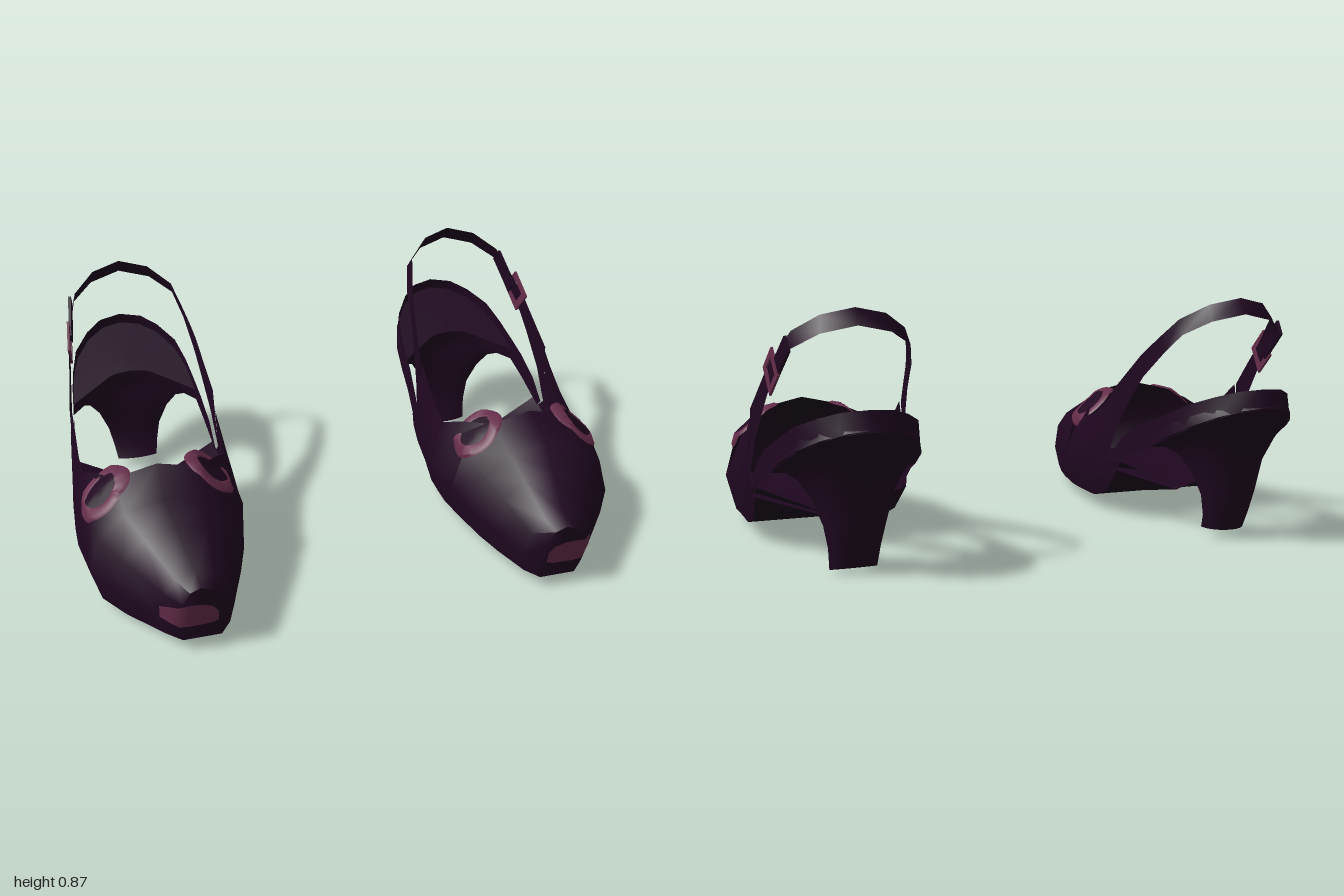
import * as THREE from 'three';
import { toCreasedNormals } from 'three/addons/utils/BufferGeometryUtils.js';

const leather = new THREE.MeshStandardMaterial({ color: 0x1f0720, side: THREE.DoubleSide });
leather.name = 'dark plum leather';
const trim = new THREE.MeshStandardMaterial({ color: 0x672e4b, side: THREE.DoubleSide });
trim.name = 'rose trim';

const CX = 0.69; // centre line of one shoe

function part(group, name, geometry, material = leather) {
  const mesh = new THREE.Mesh(geometry, material);
  mesh.name = name;
  group.add(mesh);
  return mesh;
}

// Skin a surface over rows of [x, y, z] points
function loft(rows, closed = false, crease = 0.7) {
  const n = rows[0].length, index = [];
  for (let r = 0; r < rows.length - 1; r++) {
    for (let i = 0; i < (closed ? n : n - 1); i++) {
      const a = r * n + i, b = r * n + (i + 1) % n;
      index.push(a, b, a + n, b, b + n, a + n);
    }
  }
  const g = new THREE.BufferGeometry();
  g.setAttribute('position', new THREE.Float32BufferAttribute(rows.flat(2), 3));
  g.setIndex(index);
  return toCreasedNormals(g, crease);
}

// A row collapsed to its centre, used to cap a loft
function cap(row) {
  const c = [0, 1, 2].map(k => row.reduce((s, p) => s + p[k], 0) / row.length);
  return row.map(() => c);
}

// Bands given as [halfWidth, lowZ, lowY, highZ, highY], run round the back of the foot
function bandAround(stations, lean) {
  const row = (s, side) => [
    [CX + side * s[0], s[2], s[1]],
    [CX + side * Math.max(0, s[0] - lean), s[4], s[3]],
  ];
  const outer = stations.map(s => row(s, 1));
  const inner = stations.slice(0, -1).reverse().map(s => row(s, -1));
  return loft([...outer, ...inner]);
}

// Toe box cross-sections: [z, inner x, outer x, top y]
const profile = [[-0.88, 0], [-1, 0.32], [-0.85, 0.7], [-0.5, 0.92], [0, 1],
  [0.5, 0.92], [0.85, 0.7], [1, 0.32], [0.88, 0]];
const toeRows = [
  [0.785, 0.57, 0.72, 0.27], [0.73, 0.525, 0.78, 0.292], [0.56, 0.47, 0.9, 0.36],
  [0.45, 0.435, 0.975, 0.405], [0.3, 0.405, 1.0, 0.465],
].map(([z, xi, xo, top]) => profile.map(([fx, fy]) => [
  (xi + xo) / 2 + fx * (xo - xi) / 2,
  0.042 + fy * (top - 0.042),
  z - (z > 0.7 ? 0.035 * (1 - fy) : 0),
]));

// A point on the rear of the toe box; f runs along the profile, lift raises it
function onVamp(z, f, lift) {
  const { lerp, clamp } = THREE.MathUtils;
  const i = Math.floor(f), k = clamp((z - 0.3) / 0.15, 0, 1);
  const at = c => lerp(lerp(toeRows[4][i][c], toeRows[4][i + 1][c], f - i),
    lerp(toeRows[3][i][c], toeRows[3][i + 1][c], f - i), k);
  return [CX + (at(0) - CX) * (1 + lift), 0.2 + (at(1) - 0.2) * (1 + lift), z];
}

function makeShoe(heelBase) {
  const shoe = new THREE.Group();
  part(shoe, 'toeBox', loft([cap(toeRows[0]), ...toeRows], true, 1.1));

  // Open side walls and sole: [z, centre, half width, bottom y, top y, top inset]
  const wallRows = [
    [0.3, 0.7025, 0.2975, 0.042, 0.43, 0.5], [0.2, 0.692, 0.308, 0.05, 0.4, 0.7],
    [0.12, CX, 0.306, 0.05, 0.36, 0.85], [0.04, CX, 0.303, 0.05, 0.385, 0.87],
    [-0.06, CX, 0.295, 0.085, 0.445, 0.89], [-0.13, CX, 0.286, 0.09, 0.495, 0.92],
  ].map(([z, c, hw, b, top, inset]) => {
    const back = z < -0.1;
    const half = [
      [inset, top, z], [(inset + 1) / 2 + 0.05 * (1 - inset), b + 0.75 * (top - b), z],
      [back ? 0.97 : 1, back ? 0.25 : 0.18, back ? -0.12 : z],
      [back ? 0.95 : 0.88, back ? 0.19 : b, back ? -0.18 : z],
    ];
    return [...half.map(p => [c + p[0] * hw, p[1], p[2]]), [c, b, back ? -0.155 : z],
      ...half.reverse().map(p => [c - p[0] * hw, p[1], p[2]])];
  });
  part(shoe, 'sideWallsAndSole', loft(wallRows));

  // Insole, dipping to the sole at its back edge: [z, side y, centre y, centre z, half width]
  part(shoe, 'insole', loft([
    [0.4, 0.16, 0.16, 0.4, 0.26], [0.2, 0.16, 0.15, 0.2, 0.29],
    [0, 0.18, 0.13, 0, 0.285], [-0.2, 0.23, 0.1, -0.16, 0.272],
  ].map(([z, y, yc, zc, hw]) => [[CX - hw, y, z], [CX, yc, zc], [CX + hw, y, z]])));

  // Slingback strap
  part(shoe, 'slingbackStrap', bandAround([
    [0.278, -0.12, 0.25, -0.13, 0.495], [0.266, -0.18, 0.38, -0.2, 0.555],
    [0.25, -0.27, 0.5, -0.3, 0.64], [0.24, -0.33, 0.57, -0.345, 0.675],
    [0.222, -0.45, 0.665, -0.41, 0.725], [0.195, -0.54, 0.74, -0.5, 0.793],
    [0.115, -0.605, 0.79, -0.57, 0.847], [0, -0.635, 0.815, -0.6, 0.87],
  ], 0.008));

  // Narrow arch bands running into the heel cup
  part(shoe, 'archAndHeelCup', bandAround([
    [0.272, -0.18, 0.19, -0.12, 0.25], [0.268, -0.2, 0.23, -0.2, 0.32],
    [0.256, -0.3, 0.28, -0.3, 0.38], [0.246, -0.4, 0.317, -0.4, 0.417],
    [0.233, -0.5, 0.36, -0.5, 0.455], [0.208, -0.6, 0.41, -0.6, 0.5],
    [0.15, -0.7, 0.46, -0.69, 0.537], [0.09, -0.76, 0.49, -0.745, 0.56],
    [0, -0.785, 0.5, -0.77, 0.568],
  ], 0.006));

  // Heel and seat, hollowed at the front: [front z, front y, back z, back y, half width, hollow]
  const heelRows = [
    [-0.4, 0.365, -0.768, 0.53, 0.242, 0.125], [-0.4, 0.318, -0.785, 0.505, 0.247, 0.13],
    [-0.455, 0.325, -0.745, 0.455, 0.205, 0.08], [-0.49, 0.305, -0.71, 0.41, 0.175, 0.04],
    [-0.515, 0.25, -0.655, 0.33, 0.138, 0.005], [-0.54, 0.16, -0.63, 0.19, 0.105, -0.012],
    [-0.527, 0.08, -0.605, 0.1, 0.088, -0.012],
    [-0.502, heelBase, -0.58, Math.max(0.03, heelBase), 0.08, -0.012],
  ].map(([zf, yf, zb, yb, hw, hollow]) => {
    const point = (x, z) => [CX + hw * x, yf + (yb - yf) * (z - zf) / (zb - zf), z];
    const ring = [];
    for (let i = 0; i <= 8; i++) {
      const u = i / 4 - 1;
      ring.push(point(u, zf - hollow * (1 - u * u)));
    }
    for (let i = 1; i < 10; i++) {
      const a = i / 10 * Math.PI;
      ring.push(point(Math.cos(a), zf + (zb - zf) * Math.sin(a)));
    }
    return ring;
  });
  part(shoe, 'heel', loft([cap(heelRows[0]), ...heelRows, cap(heelRows[7])], true));

  // Flat rings hugging both shoulders of the toe box: [name, z, profile position, z and profile radius]
  for (const [name, z, f, rz, rf] of [
    ['outerRing', 0.296, 5.48, 0.1, 0.85], ['innerRing', 0.265, 2.52, 0.098, 0.8],
  ]) {
    const hoop = (r, lift) => Array.from({ length: 28 }, (_, i) => {
      const a = i / 28 * Math.PI * 2;
      return onVamp(z + rz * r * Math.cos(a), f + rf * r * Math.sin(a), lift);
    });
    part(shoe, name, loft([hoop(0.58, 0.018), hoop(0.66, 0.03), hoop(0.92, 0.03), hoop(1, 0.006)], true), trim);
    part(shoe, name + 'Centre', loft([hoop(0.02, 0.02), hoop(0.3, 0.02), hoop(0.62, 0.02)], true));
  }

  // Thin domed patch wrapping the tip of the toe: [x, z, low y, high y]
  part(shoe, 'toePatch', loft([
    [0.59, 0.773, 0.118, 0.158], [0.61, 0.774, 0.11, 0.187], [0.65, 0.775, 0.108, 0.201],
    [0.69, 0.775, 0.108, 0.203], [0.724, 0.772, 0.11, 0.197], [0.748, 0.748, 0.115, 0.19],
    [0.778, 0.716, 0.125, 0.175],
  ].map(([x, z, low, high]) => [low, (low + high) / 2, high]
    .map(y => [x, y, z + (y - 0.155) * 0.153]))), trim);

  // Buckle frame and strap tail on the outer side
  const corners = (w, h) => [[-w, -h], [w, -h], [w, h], [-w, h]].map(p => new THREE.Vector2(...p));
  const frame = new THREE.Shape(corners(0.062, 0.056));
  frame.holes.push(new THREE.Path(corners(0.034, 0.034)));
  const buckle = new THREE.ExtrudeGeometry(frame, { depth: 0.008, bevelEnabled: false });
  buckle.rotateZ(0.66).rotateY(Math.PI / 2 + 0.13);
  part(shoe, 'buckle', buckle, trim).position.set(0.918, 0.65, -0.37);
  const tail = new THREE.BoxGeometry(0.17, 0.06, 0.01).rotateZ(0.66).rotateY(Math.PI / 2 + 0.15);
  part(shoe, 'strapTail', tail).position.set(0.905, 0.703, -0.465);

  return shoe;
}

export function createModel() {
  const model = new THREE.Group();
  model.name = 'slingbackShoes';
  const left = makeShoe(0);
  left.name = 'leftShoe';
  const right = makeShoe(0.03);
  right.name = 'rightShoe';
  right.scale.x = -1;
  model.add(left, right);
  return model;
}
